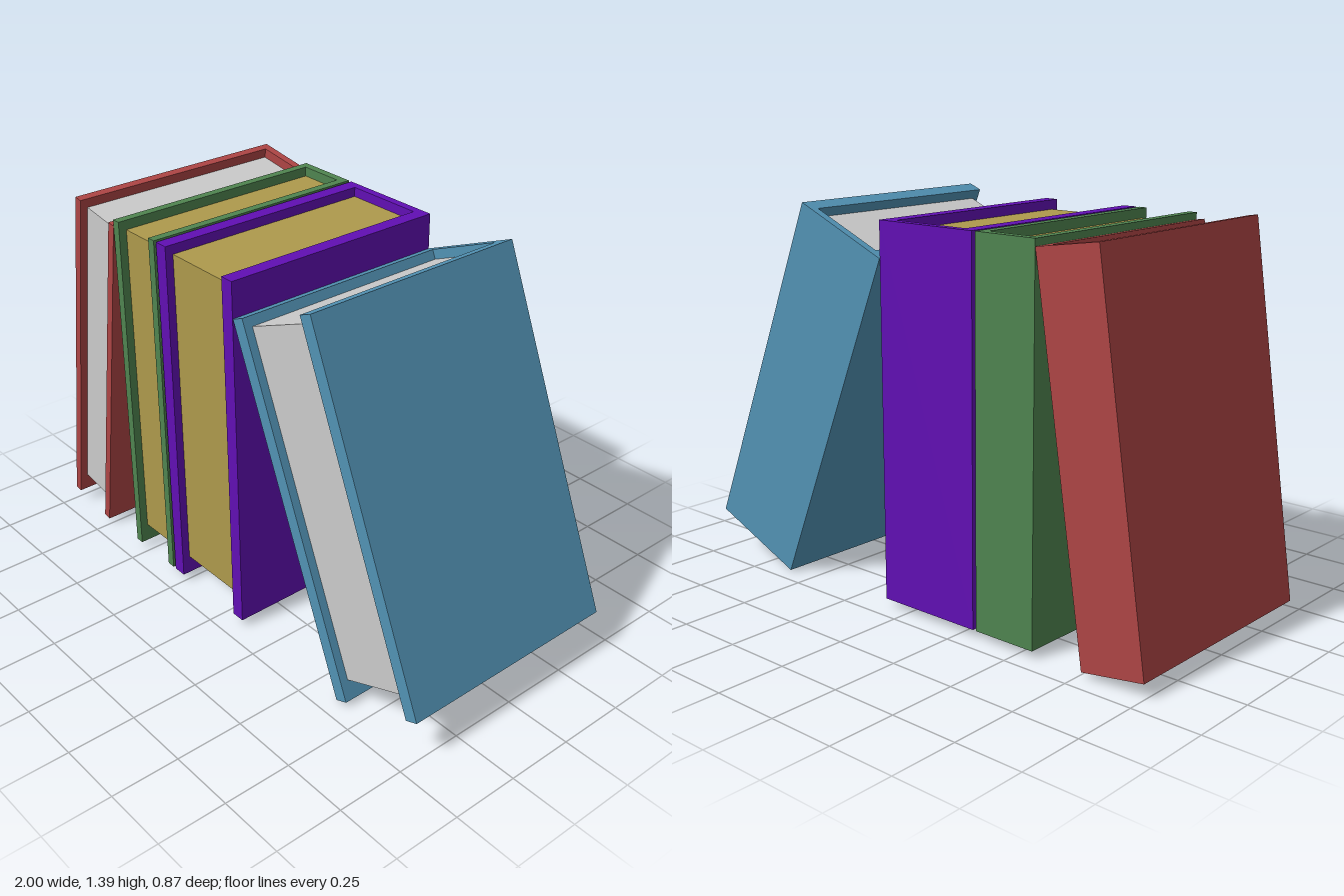
import * as THREE from 'three';

const HEIGHT = 1.332;  // cover height
const DEPTH = 0.866;   // cover depth, spine at the back
const SPINE = 0.03;    // spine thickness

const material = (color) => new THREE.MeshStandardMaterial({ color, flatShading: true });

// U-shaped cover: two boards joined by the spine, open at the front, top and bottom
function makeCover(width, board, color) {
  const w = width / 2, d = DEPTH / 2, inner = w - board;
  const outline = new THREE.Shape([
    [-w, -d], [-inner, -d], [-inner, d - SPINE], [inner, d - SPINE],
    [inner, -d], [w, -d], [w, d], [-w, d],
  ].map(([x, y]) => new THREE.Vector2(x, y)));
  const geometry = new THREE.ExtrudeGeometry(outline, { depth: HEIGHT, bevelEnabled: false });
  geometry.rotateX(-Math.PI / 2).translate(0, -HEIGHT / 2, 0);
  const cover = new THREE.Mesh(geometry, material(color));
  cover.name = 'cover';
  return cover;
}

// Page block, set back from the front edge, the top and the bottom
function makePages(width, board, color) {
  const bottom = -HEIGHT / 2 + 0.07, top = HEIGHT / 2 - 0.035;
  const back = -DEPTH / 2 + SPINE, front = 0.403;
  const pages = new THREE.Mesh(
    new THREE.BoxGeometry(width - 2 * board, top - bottom, front - back),
    material(color),
  );
  pages.position.set(0, (top + bottom) / 2, (front + back) / 2);
  pages.name = 'pages';
  return pages;
}

export function createModel() {
  const model = new THREE.Group();
  model.name = 'bookRow';
  const ochre = 0xae9a4c, grey = 0xcccccc;
  const thin = { width: 0.242, board: 0.032 };
  const thick = { width: 0.41, board: 0.052 };

  // Two upright books between two leaning ones
  const books = [
    { name: 'redBook', ...thin, color: 0xae4545, paper: grey, x: -0.781, y: 0.697, lean: -8.6 },
    { name: 'greenBook', ...thin, color: 0x4f8450, paper: ochre, x: -0.44, y: 0.696, lean: 0 },
    { name: 'purpleBook', ...thick, color: 0x610fb4, paper: ochre, x: -0.1, y: 0.696, lean: 0 },
    { name: 'blueBook', ...thick, color: 0x5292b4, paper: grey, x: 0.552, y: 0.697, lean: 22.6 },
  ];
  for (const { name, width, board, color, paper, x, y, lean } of books) {
    const book = new THREE.Group();
    book.name = name;
    book.add(makeCover(width, board, color), makePages(width, board, paper));
    book.position.set(x, y, 0);
    book.rotation.z = THREE.MathUtils.degToRad(lean);
    model.add(book);
  }
  return model;
}
